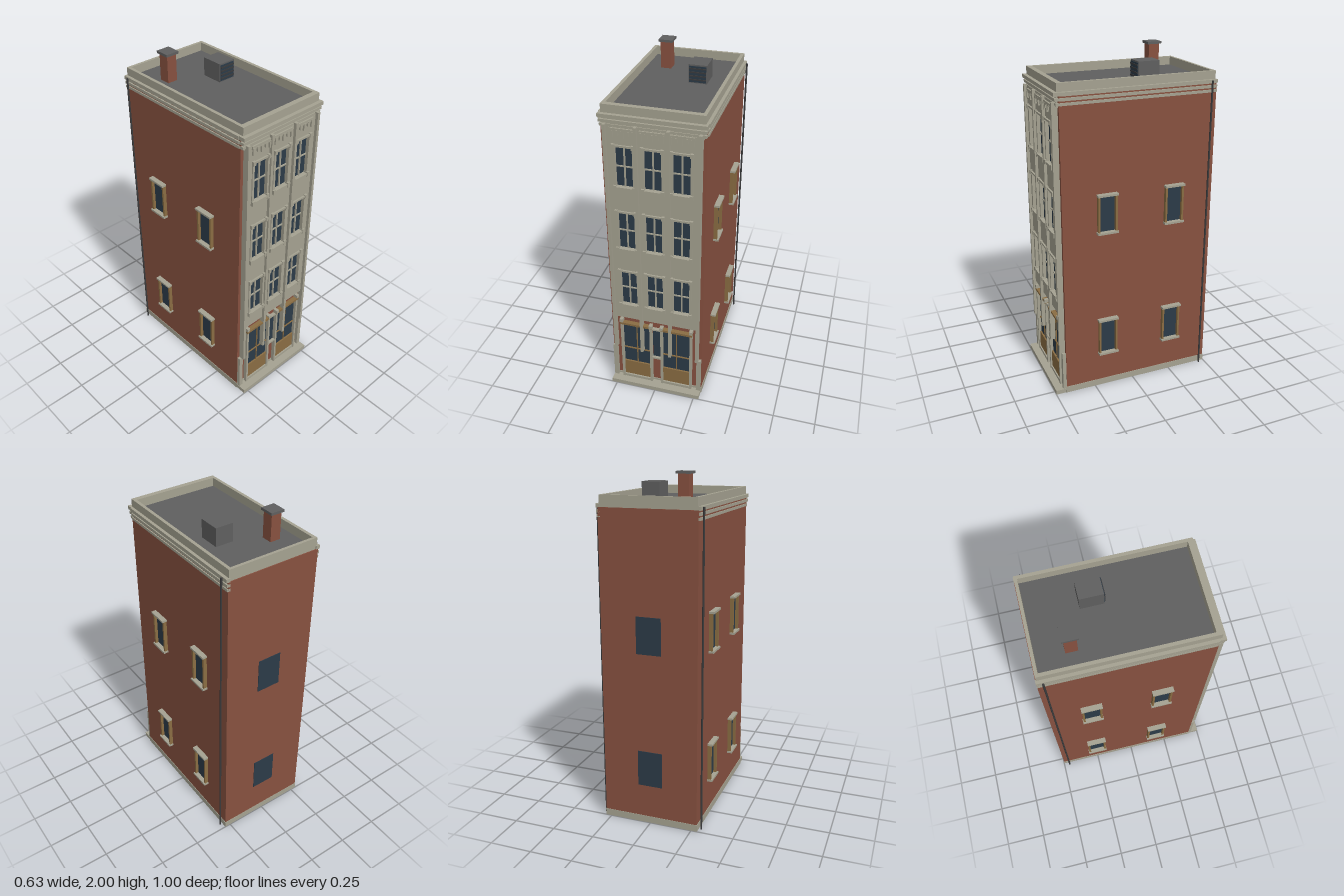
import * as THREE from 'three';

const mat = (name, color) => new THREE.MeshStandardMaterial({ name, color });

export function createModel() {
  const stone = mat('stone', 0xa5a291), brick = mat('brick', 0x875140), roofGrey = mat('roof grey', 0x5f5f5f),
    wood = mat('wood', 0x8a6d43), glass = mat('glass', 0x2c3b48), iron = mat('dark iron', 0x3b3b3c);
  const model = new THREE.Group();
  model.name = 'townhouse';

  // box from its limits on each axis
  const box = (name, m, x0, x1, y0, y1, z0, z1, parent = model) => {
    const mesh = new THREE.Mesh(new THREE.BoxGeometry(x1 - x0, y1 - y0, z1 - z0), m);
    mesh.position.set((x0 + x1) / 2, (y0 + y1) / 2, (z0 + z1) / 2);
    mesh.name = name;
    parent.add(mesh);
    return mesh;
  };
  const group = (name) => {
    const g = new THREE.Group();
    g.name = name;
    model.add(g);
    return g;
  };
  const rect = (P, x0, x1, y0, y1) => {
    const p = new P();
    p.moveTo(x0, y0); p.lineTo(x1, y0); p.lineTo(x1, y1); p.lineTo(x0, y1); p.closePath();
    return p;
  };

  // main walls, plinth and front step
  box('walls', brick, -0.283, 0.283, 0.02, 1.815, -0.497, 0.432);
  box('plinth', stone, -0.286, 0.286, 0, 0.04, -0.499, 0.436);
  box('frontStep', stone, -0.282, 0.282, 0, 0.026, 0.43, 0.5);

  // roof deck and hollow parapet
  box('roofDeck', roofGrey, -0.26, 0.26, 1.81, 1.83, -0.48, 0.415);
  const ring = rect(THREE.Shape, -0.276, 0.276, -0.44, 0.492);
  ring.holes.push(rect(THREE.Path, -0.257, 0.257, -0.41, 0.475));
  const parapet = new THREE.Mesh(new THREE.ExtrudeGeometry(ring, { depth: 0.07, bevelEnabled: false }), stone);
  parapet.rotation.x = -Math.PI / 2;
  parapet.position.y = 1.81;
  parapet.name = 'parapet';
  model.add(parapet);

  // stepped cornice along the front and both sides
  const cornice = group('cornice');
  [[1.762, 1.777, 0.289, 0.449], [1.787, 1.803, 0.291, 0.455], [1.813, 1.834, 0.294, 0.462]].forEach(([y0, y1, x, z]) => {
    box('corniceFront', stone, -x + 0.005, x - 0.005, y0, y1, 0.42, z, cornice);
    for (const s of [-1, 1]) {
      const [a, b] = s > 0 ? [0.27, x] : [-x, -0.27];
      box('corniceSide', stone, a, b, y0, y1, -0.497, 0.425, cornice);
    }
  });
  box('corniceBacking', stone, -0.27, 0.27, 1.75, 1.815, 0.425, 0.444, cornice);

  // stone facade with nine openings
  const bays = [-0.157, 0, 0.157], rows = [0.62, 1.02, 1.42], winH = 0.236, half = 0.048;
  const wall = rect(THREE.Shape, -0.252, 0.252, 0.51, 1.765);
  for (const x of bays) for (const y of rows) wall.holes.push(rect(THREE.Path, x - half, x + half, y, y + winH));
  const facade = new THREE.Mesh(new THREE.ExtrudeGeometry(wall, { depth: 0.02, bevelEnabled: false }), stone);
  facade.position.z = 0.43;
  facade.name = 'facade';
  model.add(facade);

  // facade windows
  for (const x of bays) for (const y of rows) {
    const w = group('facadeWindow'), top = y + winH;
    box('pane', glass, x - half, x + half, y, top, 0.43, 0.435, w);
    box('mullion', stone, x - 0.004, x + 0.004, y, top, 0.433, 0.443, w);
    box('transom', stone, x - half, x + half, y + 0.115, y + 0.122, 0.433, 0.442, w);
    box('sill', stone, x - 0.064, x + 0.064, y - 0.013, y, 0.44, 0.463, w);
    box('lintel', stone, x - 0.062, x + 0.062, top, top + 0.011, 0.44, 0.46, w);
    for (const s of [-1, 1]) {
      const c = x + s * 0.055;
      box('jamb', stone, c - 0.007, c + 0.007, y, top, 0.44, 0.456, w);
      box('sillBracket', stone, c - 0.009, c + 0.009, y - 0.02, y + 0.008, 0.44, 0.465, w);
      box('lintelEar', stone, c - 0.009, c + 0.009, top - 0.008, top + 0.016, 0.44, 0.464, w);
    }
  }

  // hanging dentils under the cornice
  for (const x of bays) {
    const d = group('dentils');
    box('dentilBand', stone, x - 0.068, x + 0.068, 1.742, 1.762, 0.44, 0.458, d);
    for (let i = -2; i <= 2; i++) {
      const c = x + i * 0.029;
      box('dentil', stone, c - 0.006, c + 0.006, i % 2 ? 1.722 : 1.708, 1.75, 0.44, 0.46, d);
    }
  }

  // pilasters and the posts below them
  for (const x of [-0.256, -0.088, 0.088, 0.256])
    box('pilaster', stone, x - 0.0085, x + 0.0085, 0.27, 1.78, 0.43, 0.467);
  for (const s of [-1, 1]) {
    box('cornerPost', stone, s * 0.267 - 0.013, s * 0.267 + 0.013, 0.026, 0.27, 0.43, 0.453);

    // shop front bay
    const shop = group('shopFront'), c = s * 0.125;
    box('shopGlass', glass, c - 0.086, c + 0.086, 0.15, 0.46, 0.43, 0.437, shop);
    box('stallPanel', wood, c - 0.084, c + 0.084, 0.048, 0.155, 0.43, 0.447, shop);
    box('shopRail', wood, c - 0.086, c + 0.086, 0.261, 0.268, 0.43, 0.443, shop);
    box('shopMullion', wood, c - 0.003, c + 0.003, 0.155, 0.46, 0.43, 0.443, shop);
    box('shopBase', stone, c - 0.09, c + 0.09, 0.026, 0.044, 0.43, 0.453, shop);
    box('shopLintel', wood, c - 0.1, c + 0.1, 0.458, 0.472, 0.43, 0.46, shop);
    for (const [x, top] of [[s * 0.034, 0.462], [s * 0.217, 0.475]]) {
      box('shopColumn', stone, x - 0.007, x + 0.007, 0.026, top, 0.43, 0.456, shop);
      box('columnCap', stone, x - 0.01, x + 0.01, top, top + 0.022, 0.43, 0.462, shop);
    }
  }

  // narrow middle window
  box('middleGlass', glass, -0.024, 0.024, 0.232, 0.45, 0.43, 0.437);
  box('middleSill', stone, -0.028, 0.028, 0.22, 0.231, 0.43, 0.453);
  box('middleLintel', stone, -0.028, 0.028, 0.448, 0.458, 0.43, 0.453);

  // side windows, with stone lintel and sill
  for (const s of [-1, 1]) for (const z of [-0.247, 0.168]) for (const y of [0.225, 1.012]) {
    const w = group('sideWindow');
    const part = (name, m, depth, y0, y1, z0, z1) => {
      const [a, b] = s > 0 ? [0.28, depth] : [-depth, -0.28];
      box(name, m, a, b, y + y0, y + y1, z + z0, z + z1, w);
    };
    part('sidePane', glass, 0.287, 0.01, 0.23, -0.05, 0.05);
    part('sideSill', stone, 0.314, 0, 0.012, -0.062, 0.062);
    part('sideLintel', stone, 0.314, 0.226, 0.238, -0.062, 0.062);
    for (const t of [-1, 1]) part('sideJamb', wood, 0.305, 0.012, 0.226, t * 0.052 - 0.006, t * 0.052 + 0.006);
  }

  // plain back windows
  for (const y of [0.235, 1.025]) box('backWindow', glass, -0.073, 0.073, y, y + 0.212, -0.5, -0.494);

  // drain pipes with wall brackets
  for (const s of [-1, 1]) {
    const pipe = new THREE.Mesh(new THREE.CylinderGeometry(0.0055, 0.0055, 1.83, 10), iron);
    pipe.position.set(s * 0.3, 0.915, -0.462);
    pipe.name = 'drainPipe';
    model.add(pipe);
  }

  // chimney
  box('chimneyStack', brick, -0.17, -0.108, 1.82, 1.988, -0.325, -0.26);
  box('chimneyCap', roofGrey, -0.18, -0.098, 1.986, 2, -0.335, -0.25);

  // rooftop vent unit with front louvres
  box('ventUnit', roofGrey, 0.045, 0.151, 1.82, 1.936, -0.205, -0.077);
  box('ventOpening', glass, 0.05, 0.146, 1.836, 1.928, -0.08, -0.074);
  for (let i = 0; i < 4; i++) box('ventLouvre', iron, 0.05, 0.146, 1.848 + i * 0.021, 1.855 + i * 0.021, -0.08, -0.07);

  return model;
}
